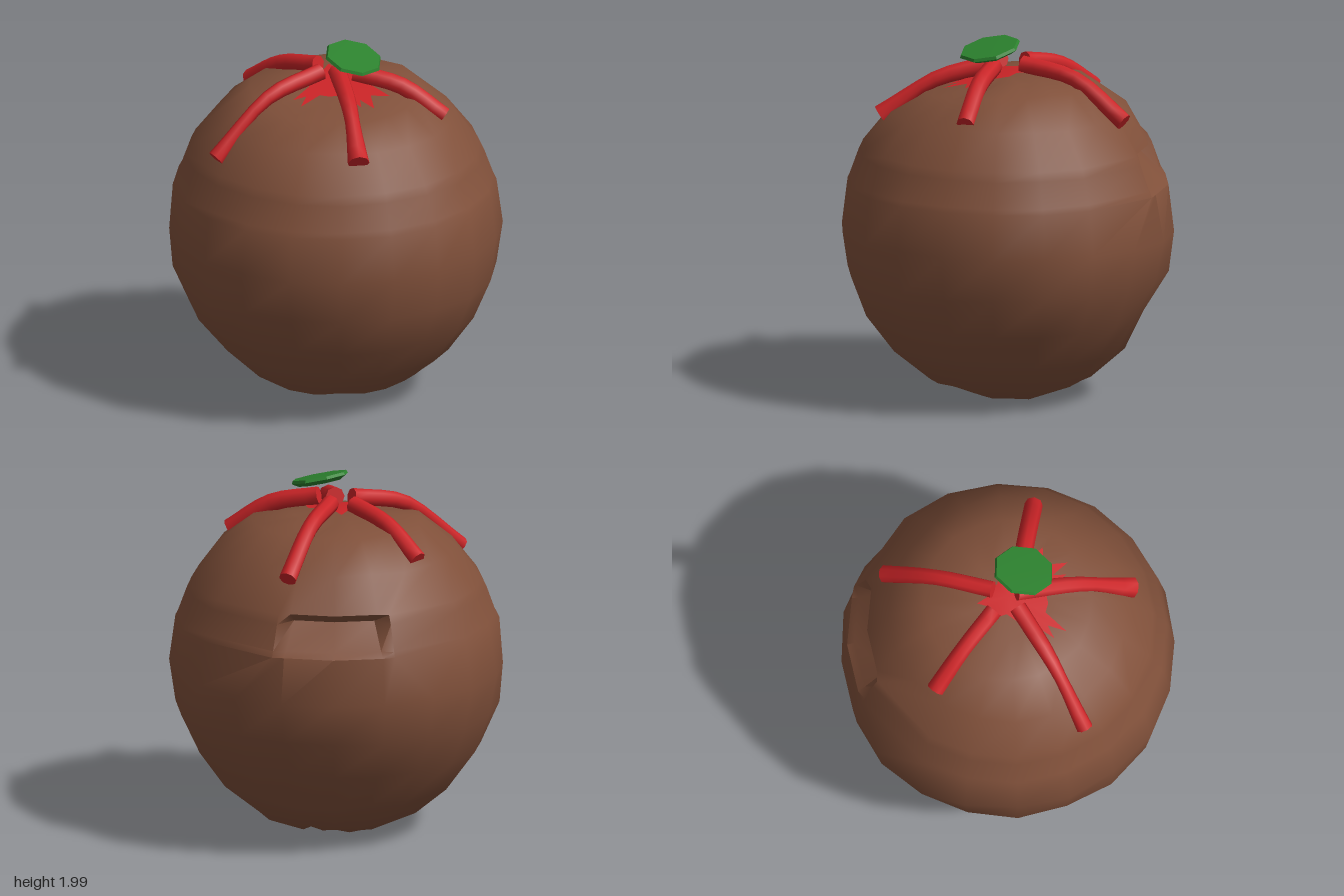
import * as THREE from 'three';
import { toCreasedNormals } from 'three/addons/utils/BufferGeometryUtils.js';

const brown = new THREE.MeshStandardMaterial({ color: 0x80503a });
const red = new THREE.MeshStandardMaterial({ color: 0xcb2427, side: THREE.DoubleSide });
const green = new THREE.MeshStandardMaterial({ color: 0x2c822e });
brown.name = 'brown';
red.name = 'red';
green.name = 'green';

const V = (x, y, z) => new THREE.Vector3(x, y, z);

function seeded(seed) {
  return () => (seed = (seed * 16807) % 2147483647) / 2147483647 - 0.5;
}

// Closed skin through rings of vertices, with a pole at each end
function skin(rings, bottom, top, crease) {
  const n = rings[0].length, index = [];
  const pts = [...rings.flat(), bottom, top];
  const last = (rings.length - 1) * n, b = rings.length * n;
  for (let j = 0; j < n; j++) {
    const k = (j + 1) % n;
    for (let i = 0; i < rings.length - 1; i++) {
      const p = i * n, q = p + n;
      index.push(p + j, p + k, q + k, p + j, q + k, q + j);
    }
    index.push(b, k, j, b + 1, last + j, last + k);
  }
  const geo = new THREE.BufferGeometry().setFromPoints(pts);
  geo.setIndex(index);
  return toCreasedNormals(geo, crease);
}

// Lumpy ball, lower at the front of the crown, with a slot cut into its upper back
function bodyGeometry() {
  const rand = seeded(41), n = 20;
  // radius, height, slot radius
  const profile = [
    [0.23, 0.03], [0.445, 0.11], [0.635, 0.27], [0.79, 0.48], [0.887, 0.7],
    [0.918, 0.94], [0.886, 1.19, 0.88], [0.87, 1.22, 0.84], [0.82, 1.36, 0.71],
    [0.796, 1.41, 0.77], [0.652, 1.6], [0.467, 1.755], [0.24, 1.785],
  ];
  const rings = profile.map(([r, y, slot], i) => {
    const ring = [];
    for (let j = 0; j < n; j++) {
      const fromBack = Math.abs(j - 10), wobble = slot ? 0.006 : 0.02;
      let a = (j / n) * Math.PI * 2, rr = r + rand() * wobble, yy = y + rand() * wobble;
      if (i === 0) yy += rand() * 0.04;
      if (i > 10) yy -= 0.05 * Math.max(0, Math.cos(a));
      if (i === 3 && fromBack < 2) rr -= 0.04;
      if (slot && fromBack < 2) { rr = slot; yy = y; }
      if (slot && fromBack === 2) a = Math.PI + Math.sign(j - 10) * 0.39;
      ring.push(V(Math.sin(a) * rr, yy, Math.cos(a) * rr));
    }
    return ring;
  });
  return skin(rings, V(0, 0.06, 0), V(0, 1.79, 0), 0.75);
}

// Round strand bent along a curve, with capped ends
function strandGeometry(points, radii) {
  const curve = new THREE.CatmullRomCurve3(points);
  const geo = new THREE.CylinderGeometry(1, 1, 1, 8, 8);
  const pos = geo.attributes.position;
  for (let i = 0; i < pos.count; i++) {
    const t = pos.getY(i) + 0.5;
    const tan = curve.getTangent(t);
    const side = V(tan.z, 0, -tan.x).normalize();
    const up = V(0, 0, 0).crossVectors(side, tan);
    const f = t * (radii.length - 1), k = Math.min(Math.floor(f), radii.length - 2);
    const r = THREE.MathUtils.lerp(radii[k], radii[k + 1], f - k);
    const p = curve.getPoint(t)
      .addScaledVector(side, pos.getX(i) * r)
      .addScaledVector(up, -pos.getZ(i) * r);
    pos.setXYZ(i, p.x, p.y, p.z);
  }
  return toCreasedNormals(geo, 1);
}

// Thin ragged star lying on the crown
function splatGeometry() {
  const tips = [[0.2, 0.34], [0.29, 0.21], [0.16, -0.02], [0.04, -0.12], [-0.03, -0.17],
    [-0.12, -0.08], [-0.15, 0.05], [-0.24, 0.24], [-0.2, 0.31], [-0.04, 0.22], [0.13, 0.33]];
  const onCrown = (x, z) => V(x, 1.815 - 0.18 * Math.max(0, z) - 0.03 * Math.abs(x), z);
  const pts = [onCrown(0, 0)], index = [];
  tips.forEach(([x, z], i) => {
    const [x2, z2] = tips[(i + 1) % tips.length];
    pts.push(onCrown(x, z), onCrown((x + x2) * 0.38, (z + z2) * 0.38));
  });
  const m = tips.length * 2;
  for (let i = 0; i < m; i++) index.push(0, 1 + i, 1 + ((i + 1) % m));
  const geo = new THREE.BufferGeometry().setFromPoints(pts);
  geo.setIndex(index);
  geo.computeVertexNormals();
  return geo;
}

export function createModel() {
  const model = new THREE.Group();
  const add = (name, geo, mat) => {
    const mesh = new THREE.Mesh(geo, mat);
    mesh.name = name;
    model.add(mesh);
    return mesh;
  };

  add('body', bodyGeometry(), brown);
  add('splat', splatGeometry(), red);

  // Five strands draped over the crown: start, middle, end, thicknesses
  const strands = [
    [V(-0.08, 1.855, 0.05), V(-0.38, 1.77, 0.22), V(-0.67, 1.485, 0.38), [0.048, 0.046, 0.034, 0.046]],
    [V(0.01, 1.855, 0.05), V(0.065, 1.765, 0.4), V(0.1, 1.565, 0.69), [0.052, 0.048, 0.04, 0.06]],
    [V(0.1, 1.855, 0.07), V(0.36, 1.795, 0.13), V(0.59, 1.635, 0.18), [0.05, 0.05, 0.05]],
    [V(0.03, 1.855, -0.08), V(0.14, 1.8, -0.38), V(0.255, 1.59, -0.66), [0.048, 0.045, 0.05]],
    [V(-0.09, 1.85, -0.08), V(-0.28, 1.79, -0.26), V(-0.45, 1.635, -0.425), [0.048, 0.045, 0.05]],
  ];
  for (const [a, b, c, radii] of strands) add('strand', strandGeometry([a, b, c], radii), red);

  // Tilted eight-sided leaf disc with a bevelled rim
  const disc = (r, y) => Array.from({ length: 8 }, (_, j) => {
    const a = (j / 8) * Math.PI * 2 + 0.3;
    return V(Math.sin(a) * r, y, Math.cos(a) * r * 1.06);
  });
  const leaf = add('leaf', skin([disc(0.125, -0.022), disc(0.162, 0), disc(0.154, 0.016)],
    V(0, -0.022, 0), V(0, 0.02, 0), 0.3), green);
  leaf.position.set(0.095, 1.945, 0.092);
  leaf.quaternion.setFromUnitVectors(V(0, 1, 0), V(0.2, 1, 0.2).normalize());

  return model;
}
